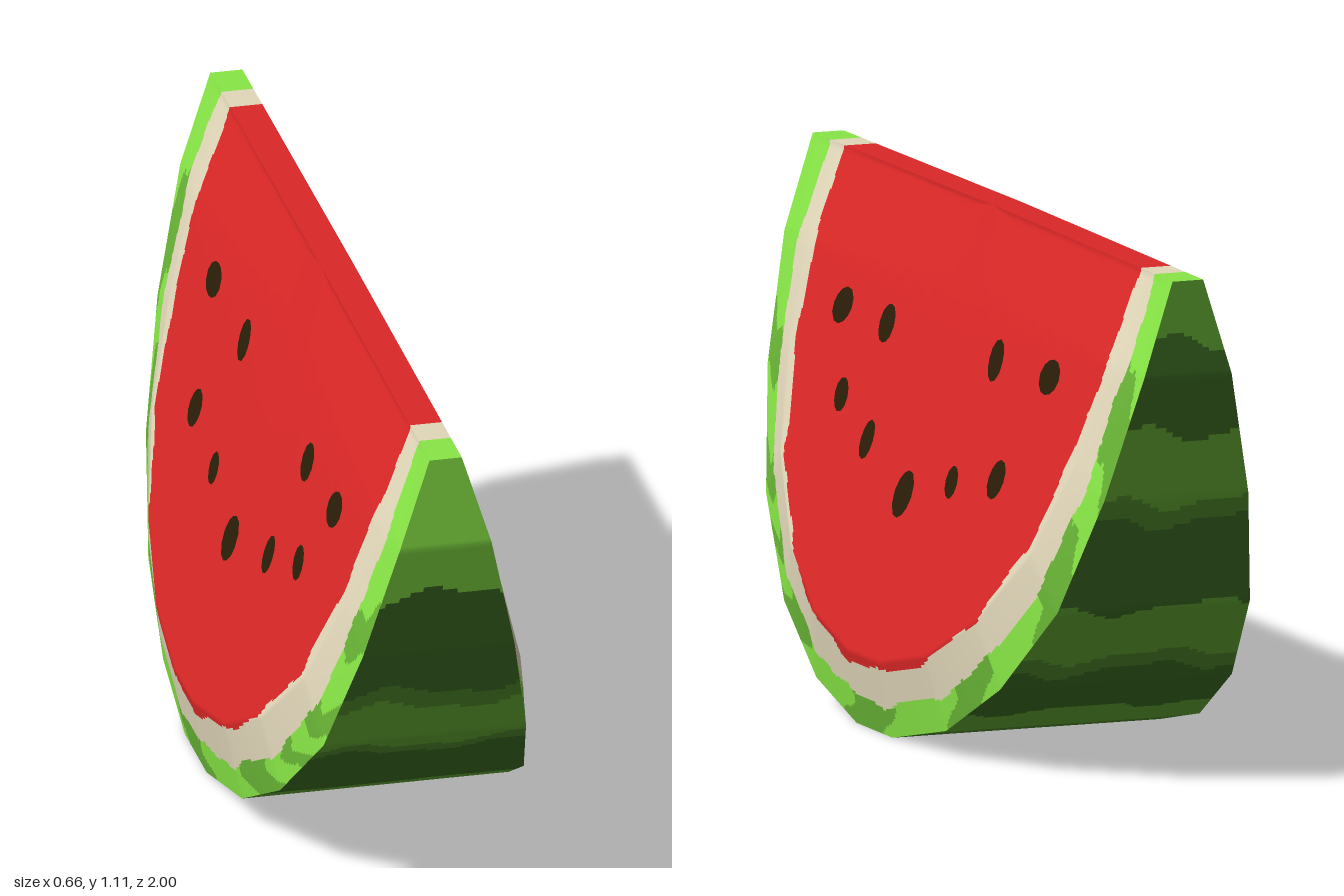
import * as THREE from 'three';

const TOP = 1.11, RING = 0.855;

const material = (name, color) => Object.assign(new THREE.MeshStandardMaterial({ color }), { name });

// Half of the slice outline: z, y, half width of the rind; mirrored to the back
const half = [
  [1, 1.105, 0.035], [1, 0.9, 0.1], [0.935, 0.63, 0.165], [0.81, 0.375, 0.22],
  [0.6, 0.18, 0.265], [0.36, 0.055, 0.29], [0.1, 0, 0.305],
];
const outline = [...half, ...half.slice().reverse().map(([z, y, w]) => [-z, y, w])];
const STEPS = 24;

// Evenly subdivided outline, with the arc length so far
const samples = [];
let arc = 0;
for (let i = 0; i < outline.length - 1; i++) {
  const [a, b] = [outline[i], outline[i + 1]];
  const length = Math.hypot(b[0] - a[0], b[1] - a[1]);
  for (let k = i ? 1 : 0; k <= STEPS; k++) {
    const p = a.map((v, n) => v + (b[n] - v) * k / STEPS);
    samples.push({ z: p[0], y: p[1], w: p[2], arc: arc + length * k / STEPS });
  }
  arc += length;
}

// Half width of the bulging flesh at a height
const fleshWidth = (y) => y > 0.9
  ? 0.035 + Math.max(0, 1.1 - y) * 0.375
  : 0.11 + (0.9 - y) * 0.3;

// Grid surface; paint(i, j) picks a material index for each cell
function surface(name, columns, rows, point, paint, materials, flip) {
  const positions = [], cells = materials.map(() => []);
  for (let i = 0; i <= columns; i++) {
    for (let j = 0; j <= rows; j++) positions.push(...point(i, j));
  }
  for (let i = 0; i < columns; i++) {
    for (let j = 0; j < rows; j++) {
      const a = i * (rows + 1) + j, b = a + rows + 1;
      cells[paint(i + 0.5, j + 0.5)].push(...(flip
        ? [a, a + 1, b, b, a + 1, b + 1]
        : [a, b, a + 1, b, b + 1, a + 1]));
    }
  }
  const geometry = new THREE.BufferGeometry();
  geometry.setAttribute('position', new THREE.Float32BufferAttribute(positions, 3));
  geometry.setIndex(cells.flat());
  let start = 0;
  cells.forEach((cell, m) => {
    if (cell.length) geometry.addGroup(start, cell.length, m);
    start += cell.length;
  });
  geometry.computeVertexNormals();
  const mesh = new THREE.Mesh(geometry, materials);
  mesh.name = name;
  return mesh;
}

export function createModel() {
  const model = new THREE.Group();
  model.name = 'watermelonSlice';
  const red = material('red flesh', 0xdc2727);
  const cream = material('cream pith', 0xe3d9bb);
  const light = material('light green', 0x8aea47);
  const mid = material('mid green', 0x69b536);
  const moss = material('moss green', 0x55932d);
  const dark = material('dark green', 0x417526);
  const seedBrown = material('seed brown', 0x2a1d08);

  // Mid green patches along the light cut rind: arc length from, to
  const patches = [
    [0.40, 0.53], [0.70, 0.80], [0.90, 0.97], [1.08, 1.26], [1.57, 1.80],
    [2.12, 2.30], [2.55, 2.76], [2.92, 3.14],
  ];
  // Flesh, pith and cut rind colours by distance from the top centre
  const cutColour = (s, depth, a) => {
    const wobble = 0.005 * Math.sin(a * 17) + 0.003 * Math.sin(a * 41 + 1);
    if (s < 0.82 + 0.055 * depth ** 3 + wobble) return 0;
    if (s < 0.905 + 0.035 * depth - wobble) return 1;
    const shifted = a + (s - 0.96) * 1.2 + 0.02 * Math.sin(s * 90);
    return patches.some(([from, to]) => shifted > from && shifted < to) ? 3 : 2;
  };
  const cutMaterials = [red, cream, light, mid];

  // Two bulging cut faces: coarse rows in the flesh, fine rows near the rind
  const scales = [];
  for (let k = 0; k < 10; k++) scales.push(k * 0.08);
  for (let k = 0; k <= 40; k++) scales.push(0.8 + k * 0.005);
  const columns = samples.length - 1;
  for (const side of [1, -1]) {
    const point = (i, j) => {
      const p = samples[i], s = scales[j];
      const y = TOP + (p.y - TOP) * s;
      const ringWidth = fleshWidth(TOP + (p.y - TOP) * RING);
      const t = (s - RING) / (1 - RING);
      const x = t <= 0 ? fleshWidth(y) : ringWidth + (p.w - ringWidth) * t;
      return [side * x, y, p.z * s];
    };
    const paint = (i, j) => {
      const p = samples[Math.floor(i)];
      const s = (scales[Math.floor(j)] + scales[Math.ceil(j)]) / 2;
      return cutColour(s, (TOP - p.y) / TOP, p.arc);
    };
    model.add(surface(side > 0 ? 'leftCutFace' : 'rightCutFace',
      columns, scales.length - 1, point, paint, cutMaterials, side > 0));
  }

  // Narrow flat top edge
  model.add(surface('topEdge', 200, 1,
    (i, j) => {
      const z = 1 - i / 100;
      return [j ? 0.035 : -0.035, TOP - 0.005 * Math.abs(z), z];
    },
    (i) => cutColour(Math.abs(1 - i / 100), 0, 0), cutMaterials, true));

  // Rind with wavy stripes running across it: arc length where each one ends
  const stripes = [
    [0.33, 0], [0.61, 3], [0.66, 2], [0.81, 1], [0.85, 2], [1.17, 3],
    [1.40, 1], [1.45, 2], [1.72, 3], [1.95, 2], [2.15, 1], [2.37, 3], [2.42, 2],
    [2.60, 1], [2.83, 3], [2.88, 2], [3.04, 1], [3.24, 3], [9, 1],
  ];
  const across = 48;
  model.add(surface('rind', columns, across,
    (i, j) => {
      const p = samples[i];
      return [p.w * (2 * j / across - 1), p.y, p.z];
    },
    (i, j) => {
      const p = samples[Math.floor(i)];
      const x = p.w * (2 * j / across - 1);
      const a = p.arc + 0.018 * Math.sin(x * 17 + p.arc * 5) + 0.008 * Math.sin(x * 38 + p.arc * 9);
      return stripes.find(([end]) => a < end)[1];
    }, [light, mid, moss, dark], false));

  // Seeds on both faces: z, y, half length along z, half height
  const seeds = [
    [0.575, 0.81, 0.048, 0.039], [0.33, 0.81, 0.036, 0.044], [0.46, 0.64, 0.035, 0.035],
    [0.27, 0.575, 0.034, 0.039], [0.015, 0.5, 0.044, 0.052], [-0.21, 0.56, 0.029, 0.036],
    [-0.265, 0.825, 0.038, 0.042], [-0.43, 0.6, 0.042, 0.04], [-0.555, 0.835, 0.048, 0.04],
  ];
  for (const side of [1, -1]) {
    seeds.forEach(([z, y, rz, ry], n) => {
      const geometry = new THREE.CircleGeometry(1, 12);
      const pos = geometry.attributes.position;
      for (let k = 0; k < pos.count; k++) {
        const angle = Math.atan2(pos.getY(k), pos.getX(k));
        const r = 1 + 0.08 * Math.sin(2 * angle + n * 1.7);
        const py = y + pos.getY(k) * ry * r;
        pos.setXYZ(k, side * (fleshWidth(py) + 0.004), py, z - side * pos.getX(k) * rz * r);
      }
      geometry.computeVertexNormals();
      const seed = new THREE.Mesh(geometry, seedBrown);
      seed.name = 'seed';
      model.add(seed);
    });
  }
  return model;
}
